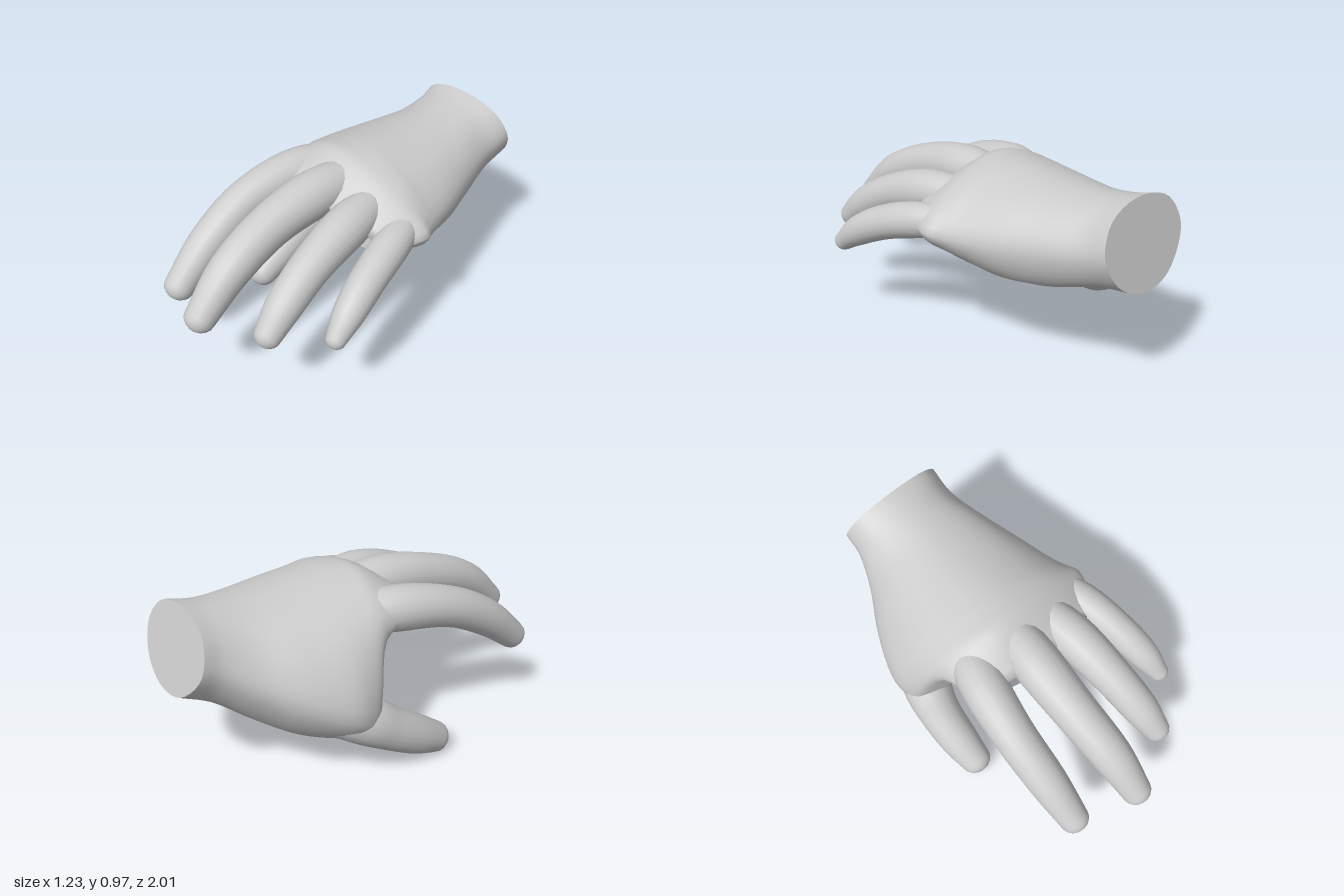
import * as THREE from 'three';

const V = (x, y, z) => new THREE.Vector3(x, y, z);
const material = new THREE.MeshStandardMaterial({ color: 0xcccccc });

// Skin a list of rings (counter-clockwise seen from the front); the start cap may be flat and sharp
function loft(rings, flatStart) {
  const n = rings[0].length, pos = [], idx = [];
  const push = (p) => pos.push(p.x, p.y, p.z) / 3 - 1;
  rings.forEach((ring) => ring.forEach(push));
  for (let i = 0; i < rings.length - 1; i++) {
    for (let j = 0; j < n; j++) {
      const a = i * n + j, b = i * n + (j + 1) % n;
      idx.push(a, b, a + n, b, b + n, a + n);
    }
  }
  const centre = (ring) => ring.reduce((s, p) => s.add(p), V(0, 0, 0)).divideScalar(n);
  const first = rings[0], last = rings[rings.length - 1];
  const c0 = push(centre(first)), c1 = push(centre(last));
  // a flat start cap has its own vertices so its rim stays sharp
  const s0 = flatStart ? pos.length / 3 : 0;
  if (flatStart) first.forEach(push);
  const e0 = (rings.length - 1) * n;
  for (let j = 0; j < n; j++) {
    const k = (j + 1) % n;
    idx.push(c0, s0 + k, s0 + j, c1, e0 + j, e0 + k);
  }
  const g = new THREE.BufferGeometry();
  g.setAttribute('position', new THREE.Float32BufferAttribute(pos, 3));
  g.setIndex(idx);
  g.computeVertexNormals();
  return g;
}

// Tapered digit along a path of [x, y, z, radius] with a rounded tip
function digit(path) {
  const curve = new THREE.CatmullRomCurve3(path.map(([x, y, z]) => V(x, y, z)));
  const radius = new THREE.CatmullRomCurve3(path.map((p, i) => V(p[3], i * 0.1, 0)));
  const rings = [], steps = 20, sides = 18;
  const addRing = (c, t, r) => {
    const side = V(0, 1, 0).cross(t).normalize(), up = t.clone().cross(side);
    rings.push(Array.from({ length: sides }, (_, j) => {
      const a = j / sides * Math.PI * 2;
      return c.clone().addScaledVector(side, Math.cos(a) * r).addScaledVector(up, Math.sin(a) * r);
    }));
  };
  for (let i = 0; i <= steps; i++) {
    addRing(curve.getPoint(i / steps), curve.getTangent(i / steps), radius.getPoint(i / steps).x);
  }
  const end = curve.getPoint(1), t = curve.getTangent(1), r = path[path.length - 1][3];
  for (const a of [0.35, 0.7, 1.05, 1.35]) {
    addRing(end.clone().addScaledVector(t, 0.85 * r * Math.sin(a)), t, r * Math.cos(a));
  }
  return loft(rings, false);
}

// Palm cross-sections: z, then thumb edge, thumb shoulder, back of hand,
// outer shoulder, outer edge, heel pad, palm hollow, thumb pad
const SECTIONS = [
  [-0.93, -0.46, 0.78, -0.4, 0.92, -0.2, 0.98, 0.02, 0.93, 0.1, 0.8, 0.04, 0.66, -0.12, 0.58, -0.32, 0.61],
  [-0.8, -0.45, 0.73, -0.38, 0.89, -0.18, 0.96, 0.02, 0.91, 0.12, 0.76, 0.06, 0.61, -0.12, 0.56, -0.32, 0.55],
  [-0.62, -0.49, 0.62, -0.38, 0.85, -0.15, 0.945, 0.1, 0.88, 0.21, 0.72, 0.14, 0.54, -0.08, 0.48, -0.3, 0.38],
  [-0.42, -0.57, 0.52, -0.42, 0.82, -0.13, 0.945, 0.16, 0.88, 0.3, 0.7, 0.22, 0.52, -0.06, 0.49, -0.36, 0.28],
  [-0.2, -0.61, 0.42, -0.45, 0.8, -0.1, 0.96, 0.21, 0.885, 0.38, 0.69, 0.28, 0.54, -0.08, 0.54, -0.42, 0.24],
  [-0.09, -0.57, 0.38, -0.44, 0.8, -0.1, 0.965, 0.25, 0.88, 0.42, 0.69, 0.32, 0.57, -0.1, 0.59, -0.46, 0.25],
  [0.02, -0.42, 0.72, -0.38, 0.84, -0.1, 0.96, 0.27, 0.86, 0.46, 0.7, 0.36, 0.6, -0.02, 0.63, -0.28, 0.64],
  [0.22, -0.33, 0.77, -0.29, 0.82, -0.1, 0.83, 0.25, 0.77, 0.42, 0.69, 0.34, 0.66, 0.05, 0.7, -0.2, 0.72],
];
// How far each section follows the knuckle row back towards the little finger
const KNUCKLE = [0, 0, 0, 0.1, 0.25, 0.35, 0.45, 0.5];

function palm() {
  const columns = [];
  for (let k = 7; k >= 0; k--) {
    columns.push(new THREE.CatmullRomCurve3(SECTIONS.map((s, i) => {
      const x = s[1 + 2 * k], y = s[2 + 2 * k];
      const cut = [1, 0.5][i] || 0; // slanted wrist end
      return V(x, y, s[0] + cut * (0.3 * (y - 0.78) - 0.17 * (x + 0.18)) - KNUCKLE[i] * Math.max(0, x - 0.12));
    })));
  }
  const rings = [], steps = 35, sides = 40;
  for (let i = 0; i <= steps; i++) {
    const ring = new THREE.CatmullRomCurve3(columns.map((c) => c.getPoint(i / steps)), true);
    rings.push(Array.from({ length: sides }, (_, j) => ring.getPoint(j / sides)));
  }
  return loft(rings, true);
}

const DIGITS = {
  indexFinger: [[-0.23, 0.78, -0.14, 0.09], [-0.275, 0.795, 0.12, 0.115], [-0.275, 0.74, 0.42, 0.105],
    [-0.24, 0.6, 0.68, 0.097], [-0.205, 0.43, 0.88, 0.076]],
  middleFinger: [[-0.04, 0.82, -0.14, 0.09], [-0.015, 0.825, 0.18, 0.12], [0.025, 0.77, 0.48, 0.11],
    [0.08, 0.655, 0.74, 0.1], [0.12, 0.49, 0.93, 0.076]],
  ringFinger: [[0.12, 0.77, -0.16, 0.08], [0.22, 0.765, 0.15, 0.11], [0.295, 0.685, 0.42, 0.1],
    [0.35, 0.575, 0.61, 0.09], [0.385, 0.475, 0.725, 0.067]],
  littleFinger: [[0.27, 0.72, -0.22, 0.06], [0.385, 0.7, 0.01, 0.09], [0.475, 0.63, 0.23, 0.088],
    [0.535, 0.545, 0.38, 0.077], [0.572, 0.46, 0.48, 0.05]],
  thumb: [[-0.4, 0.46, -0.4, 0.1], [-0.47, 0.355, -0.14, 0.125], [-0.48, 0.26, 0.01, 0.112],
    [-0.46, 0.16, 0.17, 0.102], [-0.435, 0.087, 0.295, 0.083]],
};

export function createModel() {
  const hand = new THREE.Group();
  hand.name = 'hand';
  const add = (name, geometry) => {
    const mesh = new THREE.Mesh(geometry, material);
    mesh.name = name;
    hand.add(mesh);
  };
  add('palmAndWrist', palm());
  for (const [name, path] of Object.entries(DIGITS)) add(name, digit(path));
  return hand;
}
